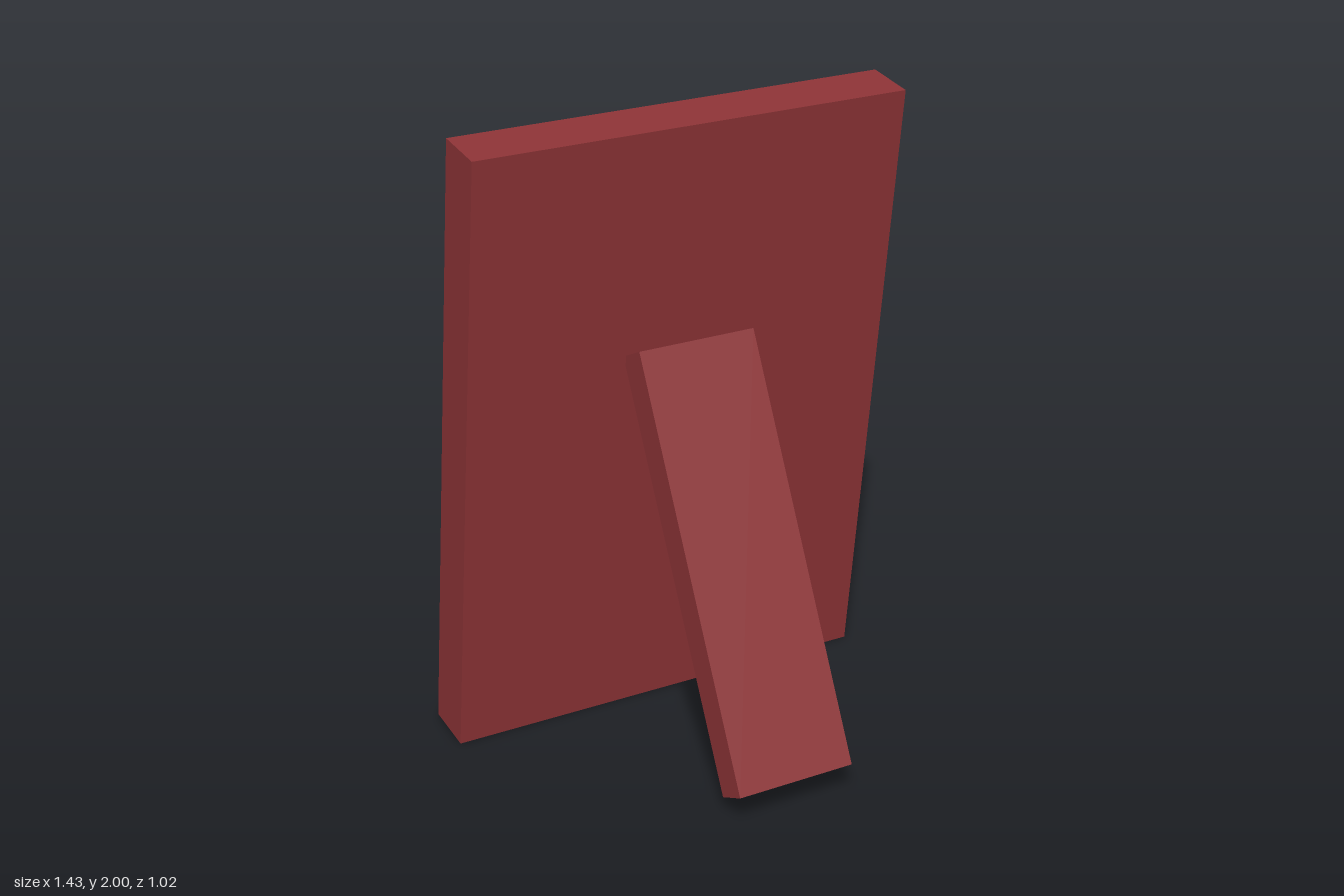
import * as THREE from 'three';

const WIDTH = 1.426, HEIGHT = 1.995, DEPTH = 0.17;
const PIC_W = 1.098, PIC_H = 1.675;

export function createModel() {
  const model = new THREE.Group();
  model.name = 'photoFrame';

  const material = (name, color) => {
    const m = new THREE.MeshStandardMaterial({ color });
    m.name = name;
    return m;
  };
  const wood = material('red wood', 0x8c3336);
  const paper = material('tan paper', 0xe8b595);
  const ink = material('dark olive', 0x3f3e2b);

  const addMesh = (parent, name, geometry, mat) => {
    const mesh = new THREE.Mesh(geometry, mat);
    mesh.name = name;
    parent.add(mesh);
    return mesh;
  };

  // Leaning panel: the board with the picture on its -z face
  const panel = new THREE.Group();
  panel.name = 'leaningPanel';
  panel.position.set(0, 1, -0.2925);
  panel.rotation.x = 0.133;
  model.add(panel);
  addMesh(panel, 'frameBoard', new THREE.BoxGeometry(WIDTH, HEIGHT, DEPTH), wood);

  // Picture, turned to look out of the -z side
  const picture = new THREE.Group();
  picture.name = 'picture';
  picture.rotation.y = Math.PI;
  picture.position.z = -DEPTH / 2;
  panel.add(picture);
  addMesh(picture, 'pictureBackground', new THREE.BoxGeometry(PIC_W, PIC_H, 0.004), paper);

  // Head and shoulders outline, as fractions across and down the picture
  const outline = [
    [0, 1], [1, 1], [1, 0.81], [0.713, 0.69], [0.889, 0.445], [0.735, 0.14],
    [0.415, 0.122], [0.214, 0.437], [0.413, 0.6], [0, 0.817],
  ].map(([a, b]) => new THREE.Vector2((a - 0.5) * PIC_W, (0.5 - b) * PIC_H));
  const bust = new THREE.ExtrudeGeometry(new THREE.Shape(outline), { depth: 0.005, bevelEnabled: false });
  addMesh(picture, 'portraitSilhouette', bust, ink);

  // Prop leg
  const leg = addMesh(model, 'propLeg', new THREE.BoxGeometry(0.39, 1.35, 0.113), wood);
  leg.position.set(0, 0.68, 0.162);
  leg.rotation.x = -0.46;

  return model;
}
